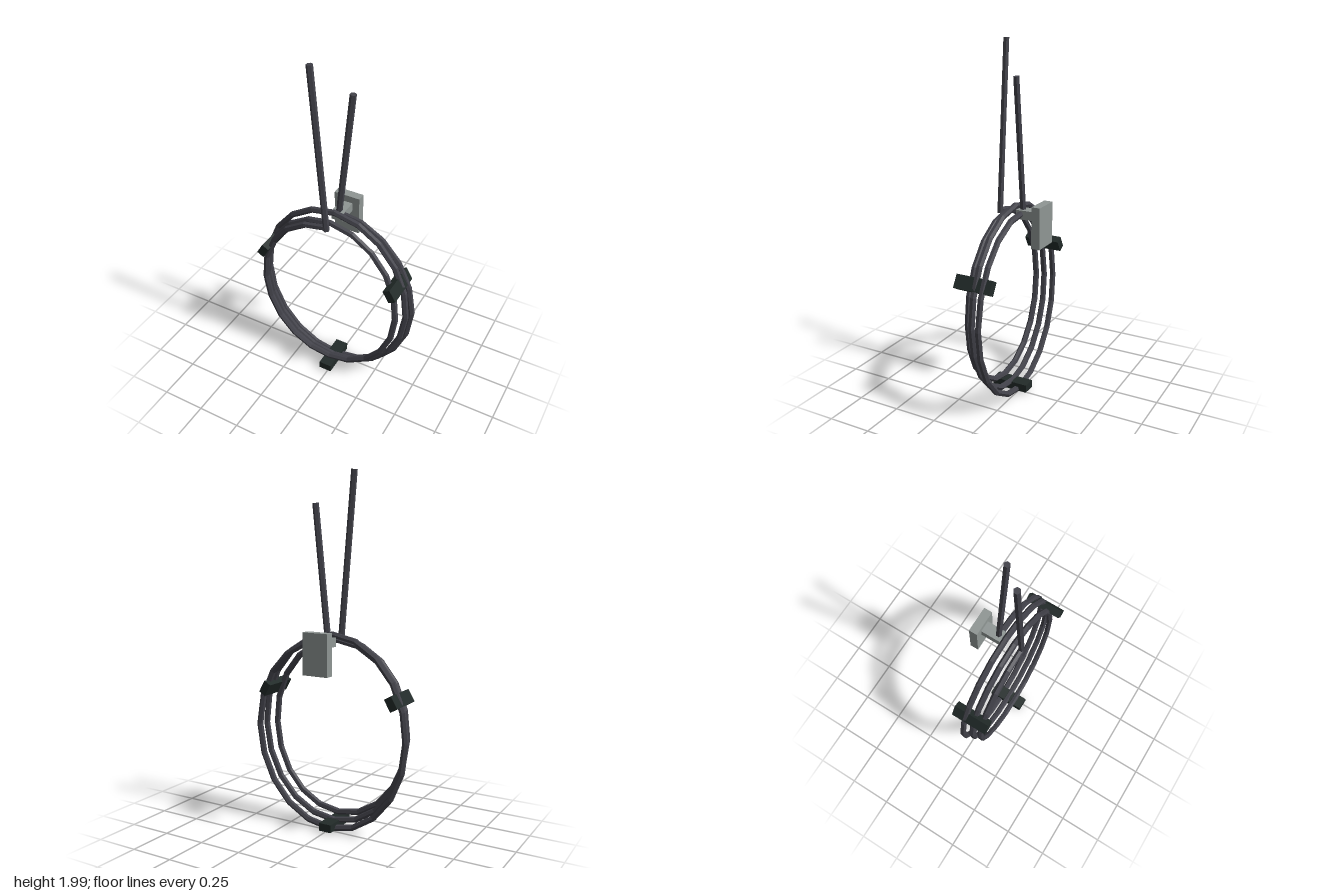
import * as THREE from 'three';

const CX = -0.0125, CY = 0.575; // coil centre
const R = 0.0175;               // cable radius
const STEPS = 20;               // segments per turn

// Coil radius at every quarter turn, starting at the top, going to +x first
const RADII = [0.435, 0.465, 0.46, 0.45, 0.46, 0.45, 0.433, 0.428, 0.43, 0.408, 0.405, 0.415, 0.43];

// Curve that visits given points exactly, keeping the facets of the bends
class PointCurve extends THREE.Curve {
  constructor(points) { super(); this.points = points; }
  index(u) { return Math.round(u * (this.points.length - 1)); }
  getPoint(u, target = new THREE.Vector3()) { return target.copy(this.points[this.index(u)]); }
  getPointAt(u, target) { return this.getPoint(u, target); }
  getTangentAt(u, target = new THREE.Vector3()) {
    const i = this.index(u), p = this.points;
    return target.subVectors(p[Math.min(i + 1, p.length - 1)], p[Math.max(i - 1, 0)]).normalize();
  }
}

function coilPoint(turn) {
  const q = turn * 4, i = Math.min(Math.floor(q), RADII.length - 2);
  const r = THREE.MathUtils.lerp(RADII[i], RADII[i + 1], q - i);
  const a = turn * Math.PI * 2;
  return new THREE.Vector3(CX + Math.sin(a) * r, CY + Math.cos(a) * r * 1.19, -0.022 + turn * 0.0475);
}

export function createModel() {
  const group = new THREE.Group();
  const cable = new THREE.MeshStandardMaterial({ color: 0x42424a, flatShading: true });
  cable.name = 'cableGrey';
  const strap = new THREE.MeshStandardMaterial({ color: 0x222b29, flatShading: true });
  strap.name = 'strapBlack';
  const metal = new THREE.MeshStandardMaterial({ color: 0x8f9694, flatShading: true });
  metal.name = 'bracketGrey';

  const add = (name, geometry, material, x = 0, y = 0, z = 0) => {
    const mesh = new THREE.Mesh(geometry, material);
    mesh.name = name;
    mesh.position.set(x, y, z);
    group.add(mesh);
    return mesh;
  };

  // Three loose turns of cable
  const n = STEPS * 3;
  const points = Array.from({ length: n + 1 }, (_, i) => coilPoint(i / STEPS));
  add('cableCoil', new THREE.TubeGeometry(new PointCurve(points), n, R, 6, false), cable);

  // Straight cable ends rising from both ends of the coil
  const addTail = (name, from, x, y) => {
    const to = new THREE.Vector3(x, y, from.z);
    const dir = to.clone().sub(from).normalize();
    const start = from.clone().addScaledVector(dir, -R);
    const mid = start.clone().lerp(to, 0.5);
    const tail = add(name, new THREE.CylinderGeometry(R, R, start.distanceTo(to), 6), cable, mid.x, mid.y, mid.z);
    tail.quaternion.setFromUnitVectors(new THREE.Vector3(0, 1, 0), dir);
  };
  addTail('shortTail', points[0], 0.064, 1.82);
  addTail('longTail', points[n], -0.09, 1.998);

  // Straps holding the turns together, a third of a circle apart
  const strapGeometry = new THREE.BoxGeometry(0.075, 0.045, 0.215);
  [['bottomStrap', 0, 0.0475, 0], ['leftStrap', 0.395, 0.797, 1], ['rightStrap', -0.395, 0.797, -1]]
    .forEach(([name, dx, y, turn]) => {
      add(name, strapGeometry, strap, CX + dx, y, 0.0475).rotation.z = turn * Math.PI * 2 / 3;
    });

  // Wall bracket: back plate and the peg carrying the coil
  add('bracketPlate', new THREE.BoxGeometry(0.151, 0.23, 0.049), metal, CX, 1.035, -0.1345);
  add('bracketPeg', new THREE.BoxGeometry(0.067, 0.05, 0.116), metal, CX, 1.085, -0.054);

  return group;
}
